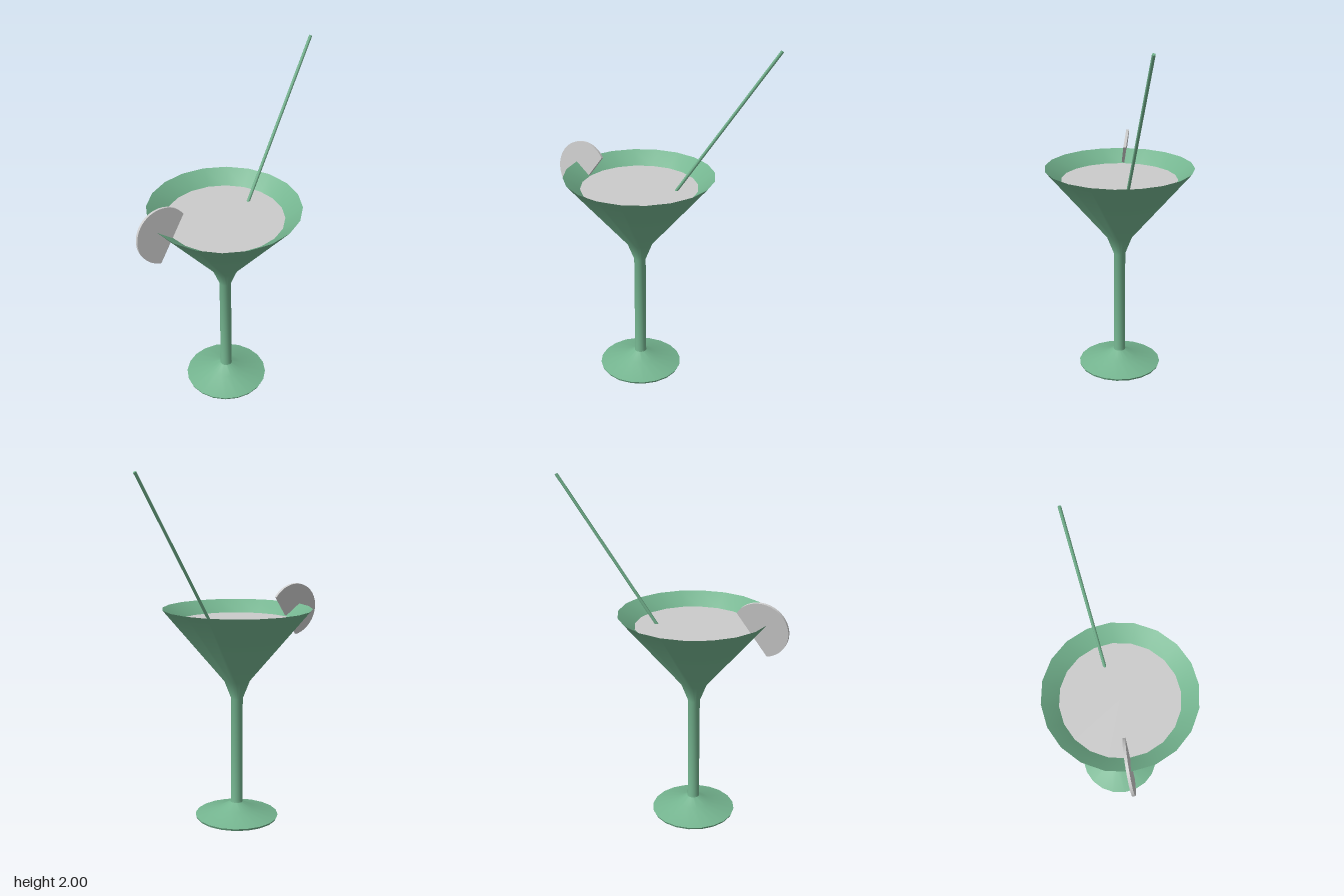
import * as THREE from 'three';
import { toCreasedNormals } from 'three/addons/utils/BufferGeometryUtils.js';

const SIDES = 20;
const LIQUID_Y = 1.175;

export function createModel() {
  const model = new THREE.Group();
  model.name = 'cocktailGlass';
  const green = new THREE.MeshStandardMaterial({ color: 0x74b48f, side: THREE.DoubleSide });
  const grey = new THREE.MeshStandardMaterial({ color: 0xcccccc });

  const add = (parent, name, geometry, material) => {
    const mesh = new THREE.Mesh(geometry, material);
    mesh.name = name;
    parent.add(mesh);
    return mesh;
  };

  // Glass: one revolved profile, from under the foot up the outside and down the inside
  const glass = new THREE.Group();
  glass.name = 'glass';
  glass.position.x = -0.098;
  model.add(glass);
  const profile = [
    [0, 0], [0.24, 0], [0.245, 0.012], [0.1, 0.053], [0.036, 0.09], [0.034, 0.1],
    [0.034, 0.72], [0.075, 0.825], [0.43, 1.247],
    [0.335, LIQUID_Y], [0.05, 0.9], [0, 0.88],
  ].map(([r, y]) => new THREE.Vector2(r, y));
  add(glass, 'footStemAndBowl', toCreasedNormals(new THREE.LatheGeometry(profile, SIDES), 0.6), green);

  // Drink surface inside the bowl
  const liquid = add(glass, 'drink', new THREE.CircleGeometry(0.336, SIDES, Math.PI / 2), grey);
  liquid.rotation.x = -Math.PI / 2;
  liquid.position.y = LIQUID_Y + 0.001;

  // Straw leaning out to the model's left and back
  const bottom = new THREE.Vector3(0.076, 1.125, -0.052);
  const top = new THREE.Vector3(0.63, 1.995, -0.204);
  const along = top.clone().sub(bottom);
  const straw = add(model, 'straw', new THREE.CylinderGeometry(0.009, 0.009, along.length(), 8), green);
  straw.position.copy(bottom).addScaledVector(along, 0.5);
  straw.quaternion.setFromUnitVectors(new THREE.Vector3(0, 1, 0), along.normalize());

  // Fruit slice with a missing sector, hooked over the rim
  const sector = new THREE.Shape();
  sector.moveTo(0, 0);
  sector.absarc(0, 0, 0.158, THREE.MathUtils.degToRad(32), THREE.MathUtils.degToRad(257), false);
  sector.closePath();
  const sliceGeometry = new THREE.ExtrudeGeometry(sector, { depth: 0.016, bevelEnabled: false, curveSegments: 16 });
  sliceGeometry.translate(0, 0, -0.008);
  const slice = add(model, 'fruitSlice', toCreasedNormals(sliceGeometry, 0.6), grey);
  slice.position.set(-0.49, 1.213, -0.003);
  slice.rotation.x = -0.13;

  return model;
}
